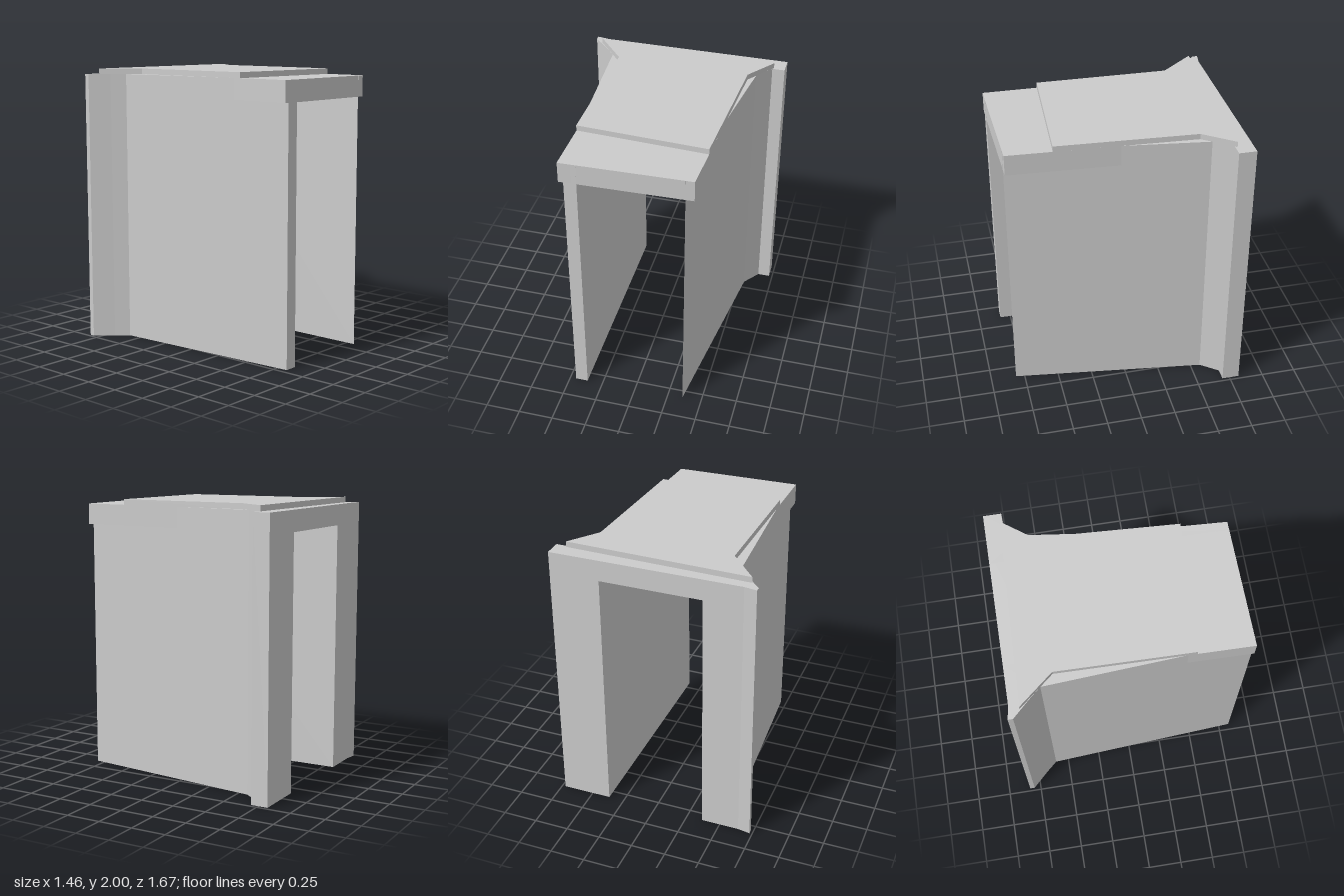
import * as THREE from 'three';

const material = new THREE.MeshStandardMaterial({ color: 0xcccccc, flatShading: true });

// Raises a plan outline of [x, z] points from one height to another.
function prism(name, plan, bottom, top) {
  const shape = new THREE.Shape(plan.map(([x, z]) => new THREE.Vector2(x, -z)));
  const geometry = new THREE.ExtrudeGeometry(shape, { depth: top - bottom, bevelEnabled: false });
  geometry.rotateX(-Math.PI / 2).translate(0, bottom, 0);
  const mesh = new THREE.Mesh(geometry, material);
  mesh.name = name;
  return mesh;
}

export function createModel() {
  const group = new THREE.Group();
  group.name = 'portal';
  const lintelBottom = 1.81, wallTop = 1.96, plateTop = 2;

  // Left wall: sharp front edge, flaring at the back into a square jamb
  group.add(prism('leftWall', [
    [0.36, 0.815], [0.54, -0.57], [0.635, -0.695], [0.725, -0.695], [0.725, -0.82], [0.365, -0.82],
  ], 0, wallTop));

  // Right wall: blunt front edge, flaring at the back to a thin lip
  group.add(prism('rightWall', [
    [-0.365, 0.83], [-0.455, 0.83], [-0.545, -0.6], [-0.62, -0.685],
    [-0.73, -0.8], [-0.73, -0.835], [-0.64, -0.82], [-0.365, -0.82],
  ], 0, wallTop));

  // Roof slab spanning the walls, overhanging them towards the front
  group.add(prism('roofSlab', [
    [-0.49, 0.832], [0.42, 0.812], [0.49, -0.5], [0.49, -0.82], [-0.47, -0.82], [-0.47, -0.51],
  ], lintelBottom, wallTop));

  // Thin raised plate on the roof, flared at the back like the walls
  group.add(prism('roofPlate', [
    [-0.485, 0.44], [0.437, 0.49], [0.49, -0.5], [0.645, -0.71], [-0.67, -0.75], [-0.47, -0.51],
  ], wallTop, plateTop));

  return group;
}
